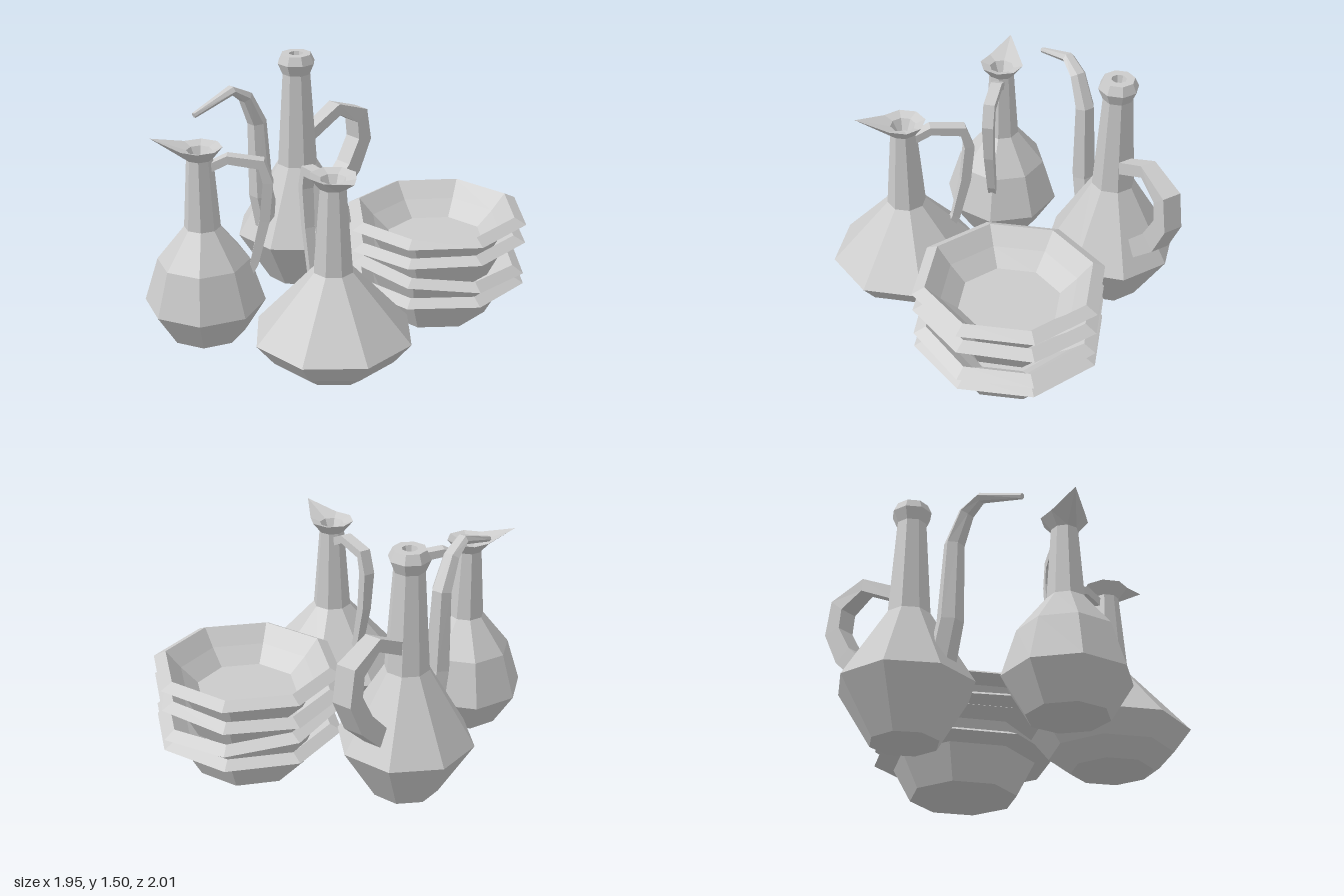
import * as THREE from 'three';

const material = new THREE.MeshStandardMaterial({ color: 0xcccccc, flatShading: true });

function addMesh(group, name, geometry) {
  const mesh = new THREE.Mesh(geometry, material);
  mesh.name = name;
  group.add(mesh);
  return mesh;
}

// Eight-sided turned body; turn is the angle of its first corner from +x towards +z
function turned(profile, turn = 0) {
  const points = profile.map(([r, y]) => new THREE.Vector2(r, y));
  return new THREE.LatheGeometry(points, 8, Math.PI / 2 - turn);
}

// Capped sweep along a path in the local xy plane; stations are [x, y, thickness, width]
function sweep(stations, sides) {
  const positions = [], index = [];
  const last = stations.length - 1;
  stations.forEach(([x, y, thickness, width], i) => {
    const p = stations[Math.max(i - 1, 0)], n = stations[Math.min(i + 1, last)];
    const tangent = new THREE.Vector2(n[0] - p[0], n[1] - p[1]).normalize();
    const scale = 0.5 / Math.cos(Math.PI / sides);
    for (let k = 0; k < sides; k++) {
      const a = ((k + 0.5) / sides) * Math.PI * 2;
      const u = Math.cos(a) * thickness * scale, v = Math.sin(a) * width * scale;
      positions.push(x - tangent.y * u, y + tangent.x * u, v);
    }
  });
  for (let i = 0; i < last; i++) {
    for (let k = 0; k < sides; k++) {
      const a = i * sides + k, b = i * sides + (k + 1) % sides;
      index.push(a, b, b + sides, a, b + sides, a + sides);
    }
  }
  const end = last * sides;
  for (let k = 1; k < sides - 1; k++) {
    index.push(0, k + 1, k, end, end + k, end + k + 1);
  }
  const geometry = new THREE.BufferGeometry();
  geometry.setAttribute('position', new THREE.Float32BufferAttribute(positions, 3));
  geometry.setIndex(index);
  geometry.computeVertexNormals();
  return geometry;
}

// Group at (x, z) whose local +x points along the given angle
function vessel(root, name, x, z, degrees) {
  const group = new THREE.Group();
  group.name = name;
  group.position.set(x, 0, z);
  group.rotation.y = -THREE.MathUtils.degToRad(degrees);
  root.add(group);
  return group;
}

// Jug: turned body with a dished lip, one lip corner drawn out to a pouring point
function addJug(root, name, x, z, degrees, bodyProfile) {
  const group = vessel(root, name, x, z, degrees);
  const lip = [[0.078, 1.115], [0.135, 1.185], [0.075, 1.165], [0.04, 1.1], [0, 1.1]];
  const geometry = turned([...bodyProfile, ...lip]);
  const pos = geometry.attributes.position;
  for (let i = 0; i < pos.count; i++) {
    if (Math.abs(pos.getY(i) - 1.185) < 0.001 && pos.getX(i) > 0.13) pos.setXYZ(i, 0.28, 1.235, 0);
  }
  geometry.computeVertexNormals();
  addMesh(group, 'jugBody', geometry);
  addMesh(group, 'jugHandle', sweep([
    [-0.05, 1.06, 0.05, 0.06], [-0.16, 1.115, 0.05, 0.07], [-0.355, 1.085, 0.06, 0.07],
    [-0.39, 0.97, 0.06, 0.07], [-0.365, 0.73, 0.06, 0.06], [-0.3, 0.46, 0.05, 0.05],
    [-0.25, 0.36, 0.05, 0.05],
  ], 4));
}

// Tall pot with curved spout and looped handle
function addPot(root) {
  const group = vessel(root, 'tallPot', -0.56, -0.43, 107.8);
  addMesh(group, 'potBody', turned([
    [0, 0], [0.2, 0], [0.4, 0.33], [0.13, 0.78], [0.09, 1.37], [0.12, 1.44],
    [0.095, 1.495], [0.045, 1.495], [0.03, 1.44], [0, 1.44],
  ], Math.PI / 8));
  addMesh(group, 'potSpout', sweep([
    [0.25, 0.42, 0.14, 0.15], [0.305, 0.65, 0.13, 0.14], [0.325, 1.13, 0.1, 0.11],
    [0.41, 1.31, 0.075, 0.09], [0.515, 1.375, 0.05, 0.07], [0.8, 1.285, 0.03, 0.03],
  ], 6));
  addMesh(group, 'potHandle', sweep([
    [-0.05, 0.92, 0.075, 0.08], [-0.326, 1.06, 0.075, 0.1], [-0.515, 0.975, 0.11, 0.12],
    [-0.54, 0.81, 0.11, 0.12], [-0.445, 0.63, 0.12, 0.12], [-0.28, 0.47, 0.11, 0.11],
  ], 4));
}

// Stack of nested bowls, each slightly tilted about its rim centre
function addBowls(root) {
  const stack = new THREE.Group();
  stack.name = 'bowlStack';
  stack.position.set(0.407, 0, -0.444);
  root.add(stack);
  const rim = 0.24;
  const geometry = turned([
    [0, 0], [0.33, 0], [0.44, 0.205], [0.563, 0.24], [0.49, 0.278],
    [0.4, 0.18], [0.3, 0.09], [0, 0.09],
  ], THREE.MathUtils.degToRad(35.5)).translate(0, -rim, 0);
  const bowls = [[0.24, 0, 0], [0.355, -0.05, -0.08], [0.49, -0.01, 0.04], [0.62, 0, 0.015]];
  bowls.forEach(([y, tiltX, tiltZ], i) => {
    const bowl = addMesh(stack, `bowl${i + 1}`, geometry);
    bowl.position.y = y;
    bowl.rotation.set(tiltX, 0, tiltZ);
  });
}

export function createModel() {
  const root = new THREE.Group();
  root.name = 'potterySet';
  addPot(root);
  addJug(root, 'slimJug', -0.64, 0.525, 151,
    [[0, 0], [0.23, 0], [0.36, 0.21], [0.275, 0.48], [0.108, 0.69]]);
  addJug(root, 'wideJug', 0.24, 0.528, 37,
    [[0, 0.005], [0.24, 0.005], [0.365, 0.1], [0.468, 0.23], [0.118, 0.62]]);
  addBowls(root);
  return root;
}
